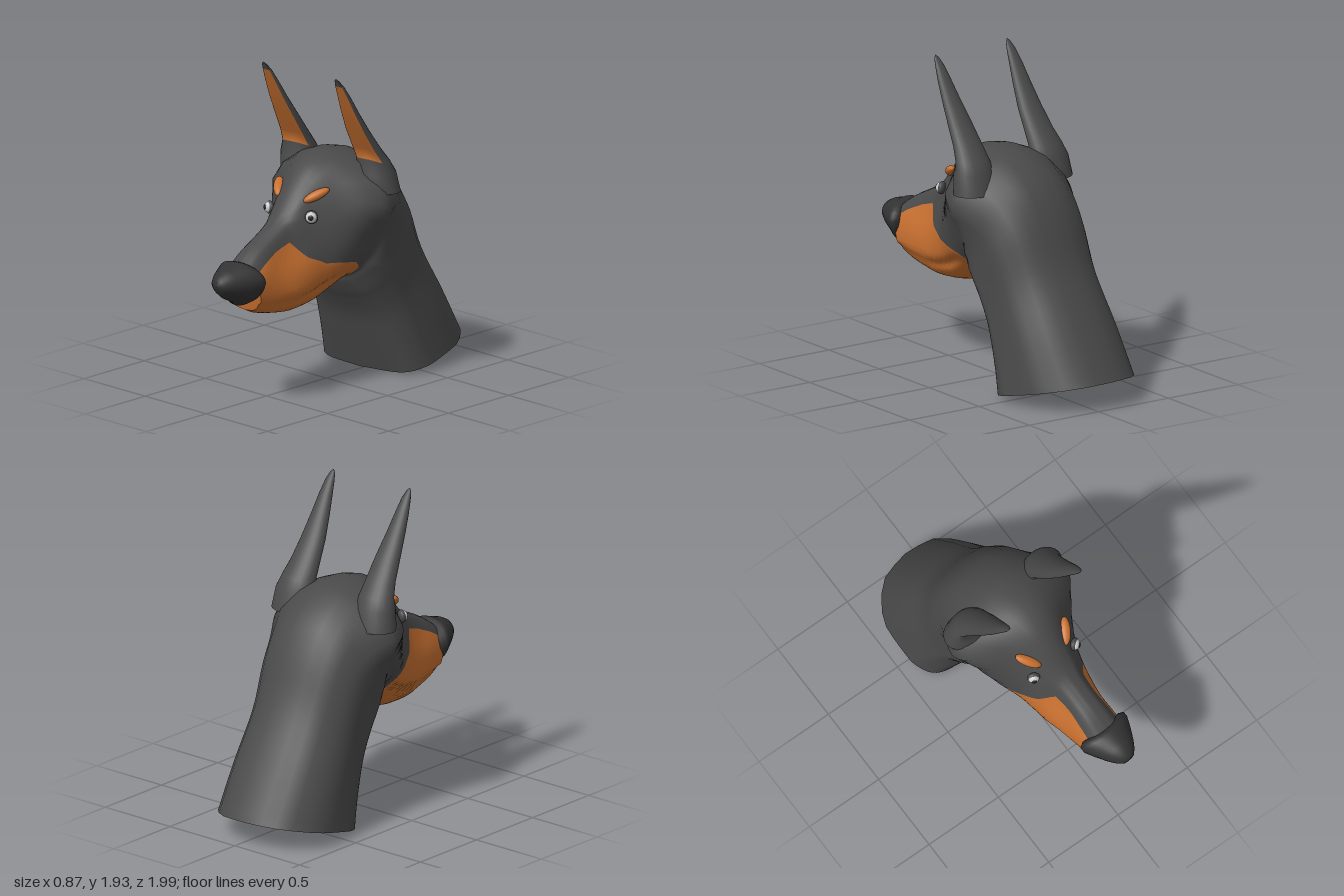
import * as THREE from 'three';

const mat = (color) => new THREE.MeshStandardMaterial({ color, roughness: 0.8 });
const COAT = mat(0x4a4a4a), TAN = mat(0xc87030), NOSE = mat(0x333333);
const EYE = mat(0xcccccc), PUPIL = mat(0x222222);

// Skins closed rings of points; tanAt(row, column) picks the faces of the tan part.
function loft(group, rings, name, material, tanName, tanAt = () => false) {
  const n = rings[0].length, coat = [], tan = [];
  for (let i = 0; i < rings.length - 1; i++) {
    for (let j = 0; j < n; j++) {
      const k = (j + 1) % n, a = i * n + j, b = i * n + k;
      (tanAt(i, j) ? tan : coat).push(a, b, a + n, b, b + n, a + n);
    }
  }
  const whole = new THREE.BufferGeometry().setFromPoints(rings.flat());
  whole.setIndex([...coat, ...tan]);
  whole.computeVertexNormals();
  for (const [index, label, m] of [[coat, name, material], [tan, tanName, TAN]]) {
    if (!index.length) continue;
    const g = new THREE.BufferGeometry();
    g.setAttribute('position', whole.attributes.position);
    g.setAttribute('normal', whole.attributes.normal);
    g.setIndex(index);
    const mesh = new THREE.Mesh(g, m);
    mesh.name = label;
    group.add(mesh);
  }
}

const centre = (ring) => {
  const c = new THREE.Vector3();
  ring.forEach((p) => c.addScaledVector(p, 1 / ring.length));
  return ring.map(() => c.clone());
};

// Sections from muzzle to neck: top z,y, bottom z,y, five half widths, tan edge (fraction down)
const SECTIONS = [
  [0.80, 0.88, 0.74, 0.59, 0.07, 0.12, 0.135, 0.125, 0.07, 0.24],
  [0.70, 0.95, 0.66, 0.555, 0.07, 0.12, 0.14, 0.135, 0.08, 0.21],
  [0.58, 1.01, 0.55, 0.53, 0.07, 0.115, 0.15, 0.15, 0.09, 0.19],
  [0.47, 1.07, 0.45, 0.515, 0.075, 0.125, 0.17, 0.17, 0.10, 0.21],
  [0.40, 1.13, 0.35, 0.515, 0.09, 0.15, 0.19, 0.18, 0.10, 0.44],
  [0.30, 1.25, 0.25, 0.525, 0.10, 0.18, 0.22, 0.20, 0.11, 0.61],
  [0.19, 1.35, 0.14, 0.56, 0.13, 0.25, 0.28, 0.24, 0.12, 0.70],
  [0.06, 1.40, 0.05, 0.595, 0.17, 0.36, 0.33, 0.27, 0.13, 0.78],
  [-0.08, 1.40, -0.03, 0.62, 0.20, 0.43, 0.36, 0.29, 0.15, 0.88],
  [-0.22, 1.36, -0.05, 0.58, 0.20, 0.40, 0.36, 0.32, 0.16, 0.80],
  [-0.38, 1.24, -0.09, 0.51, 0.20, 0.345, 0.345, 0.33, 0.19, 0.75],
  [-0.50, 1.06, -0.13, 0.45, 0.20, 0.33, 0.34, 0.33, 0.20, 0.7],
  [-0.63, 0.77, -0.19, 0.34, 0.19, 0.32, 0.34, 0.33, 0.21, 0.7],
  [-0.82, 0.46, -0.25, 0.17, 0.20, 0.34, 0.36, 0.35, 0.24, 0.7],
  [-1.00, 0.16, -0.31, 0.00, 0.20, 0.35, 0.38, 0.375, 0.28, 0.7],
];
const FRACTIONS = [0, 0.06, 0.3, 0.55, 0.78, 0.95, 1];
const UPPER = 8, LOWER = 16, STEPS = 4, JAW_END = 8;

function sectionAt(t) {
  const i = Math.min(Math.floor(t), SECTIONS.length - 2), u = t - i;
  const row = (k) => SECTIONS[THREE.MathUtils.clamp(k, 0, SECTIONS.length - 1)];
  return row(i).map((b, c) => {
    const d = row(i + 1)[c];
    if (c === 9) return b + (d - b) * u;
    const m0 = (d - row(i - 1)[c]) / 2, m1 = (row(i + 2)[c] - b) / 2;
    return b + u * (m0 + u * (3 * (d - b) - 2 * m0 - m1 + u * (2 * (b - d) + m0 + m1)));
  });
}

function bodyRing(t) {
  const [tz, ty, bz, by, ...w] = sectionAt(t);
  const edge = w.pop();
  const curve = new THREE.CatmullRomCurve3(
    FRACTIONS.map((f, i) => new THREE.Vector3(i === 0 || i === 6 ? 0 : w[i - 1], f, 0)), false, 'catmullrom', 0.5);
  const k = FRACTIONS.findIndex((f) => f > edge) - 1;
  const split = (k + (edge - FRACTIONS[k]) / (FRACTIONS[k + 1] - FRACTIONS[k])) / 6;
  const mouth = 0.13 * (1 - THREE.MathUtils.smoothstep(t, 5, 7.5));
  const side = [];
  for (let j = 0; j <= UPPER + LOWER; j++) {
    const s = j <= UPPER ? split * j / UPPER : split + (1 - split) * (j - UPPER) / LOWER;
    const p = curve.getPoint(s), f = p.y;
    const x = p.x * (1 - mouth * Math.exp(-(((f - 0.83) / 0.035) ** 2)));
    side.push(new THREE.Vector3(x, ty + (by - ty) * f, tz + (bz - tz) * f));
  }
  const mirrored = side.slice(1, -1).reverse().map((p) => new THREE.Vector3(-p.x, p.y, p.z));
  return [...side, ...mirrored];
}

function addBody(group) {
  const rings = [];
  for (let i = 0; i <= (SECTIONS.length - 1) * STEPS; i++) rings.push(bodyRing(i / STEPS));
  const n = rings[0].length;
  loft(group, rings, 'headAndNeck', COAT, 'muzzleMarking',
    (i, j) => i < JAW_END * STEPS && j >= UPPER && j < n - UPPER);
  const first = rings[0], last = rings[rings.length - 1];
  loft(group, [centre(first), first], 'muzzleFront', TAN);
  loft(group, [last, centre(last)], 'neckBase', COAT);
}

// Nose rings from tip to back: z, half width, height above and below the middle
function addNose(group) {
  const rows = [[1.0, 0.002, 0.002, 0.002], [0.992, 0.04, 0.04, 0.03], [0.965, 0.07, 0.065, 0.06],
    [0.92, 0.1, 0.087, 0.095], [0.85, 0.138, 0.105, 0.13], [0.785, 0.168, 0.115, 0.15],
    [0.755, 0.168, 0.108, 0.148], [0.74, 0.14, 0.085, 0.125], [0.74, 0.002, 0.002, 0.002]];
  const rings = rows.map(([z, w, up, down], i) => Array.from({ length: 28 }, (_, j) => {
    const a = j / 28 * Math.PI * 2, c = Math.cos(a);
    const lean = i > 4 && i < 8 ? 0.045 * c * c : 0;
    return new THREE.Vector3(w * Math.sin(a) * (c < 0 ? 1 + 0.12 * c : 1), 0.79 + c * (c > 0 ? up : down), z + lean);
  }));
  loft(group, rings, 'nose', NOSE);
}

// Ear rings from root to tip: y, centre x, centre z, half width, half depth
function addEar(group, side, label) {
  const rows = [[1.18, 0.29, -0.13, 0.14, 0.11], [1.3, 0.285, -0.11, 0.13, 0.1], [1.37, 0.28, -0.085, 0.112, 0.085],
    [1.45, 0.273, -0.035, 0.096, 0.073], [1.57, 0.27, 0.04, 0.08, 0.06], [1.7, 0.273, 0.115, 0.06, 0.046],
    [1.8, 0.275, 0.167, 0.045, 0.034], [1.88, 0.275, 0.21, 0.03, 0.022], [1.92, 0.275, 0.236, 0.016, 0.01],
    [1.935, 0.275, 0.245, 0.001, 0.001]];
  const n = 24;
  const rings = rows.map(([y, cx, cz, w, d], i) => Array.from({ length: n }, (_, j) => {
    const a = j / n * Math.PI * 2, s = -Math.sin(a);
    const hollow = i > 1 ? 0.75 : 0;
    const z = s > 0 ? d * (s - hollow * s * s) : d * s;
    return new THREE.Vector3(side * cx + w * Math.cos(a), y, cz + z);
  }));
  loft(group, rings, label, COAT, label + 'Lining', (i, j) => i >= 2 && i < 7 && j >= 14 && j < 22);
}

// Eye and the tan spot above it
function addEye(group, side, label) {
  const eye = new THREE.Group();
  eye.name = label + 'Eye';
  const ball = (r, m, name, z, depth) => {
    const mesh = new THREE.Mesh(new THREE.SphereGeometry(r, 20, 14), m);
    mesh.name = name;
    mesh.position.z = z;
    mesh.scale.z = depth;
    eye.add(mesh);
  };
  ball(0.039, COAT, 'eyelid', -0.004, 0.6);
  ball(0.033, EYE, 'eyeball', 0.004, 0.8);
  ball(0.017, PUPIL, 'pupil', 0.025, 0.5);
  eye.position.set(side * 0.16, 1.09, 0.33);
  eye.rotation.set(-0.1, side * 0.55, 0, 'YXZ');
  group.add(eye);

  const brow = new THREE.Mesh(new THREE.SphereGeometry(1, 20, 14), TAN);
  brow.name = label + 'BrowSpot';
  brow.scale.set(0.033, 0.028, 0.085);
  brow.position.set(side * 0.142, 1.205, 0.262);
  brow.lookAt(side * (0.142 + 0.09), 1.205 + 0.065, 0.262 - 0.12);
  group.add(brow);
}

export function createModel() {
  const model = new THREE.Group();
  model.name = 'dogHead';
  const head = new THREE.Group();
  head.name = 'turnedHead';
  head.rotation.y = 0.085; // the whole bust is turned slightly to its left
  addBody(head);
  addNose(head);
  for (const [side, label] of [[1, 'left'], [-1, 'right']]) {
    addEar(head, side, label + 'Ear');
    addEye(head, side, label);
  }
  model.add(head);
  return model;
}
